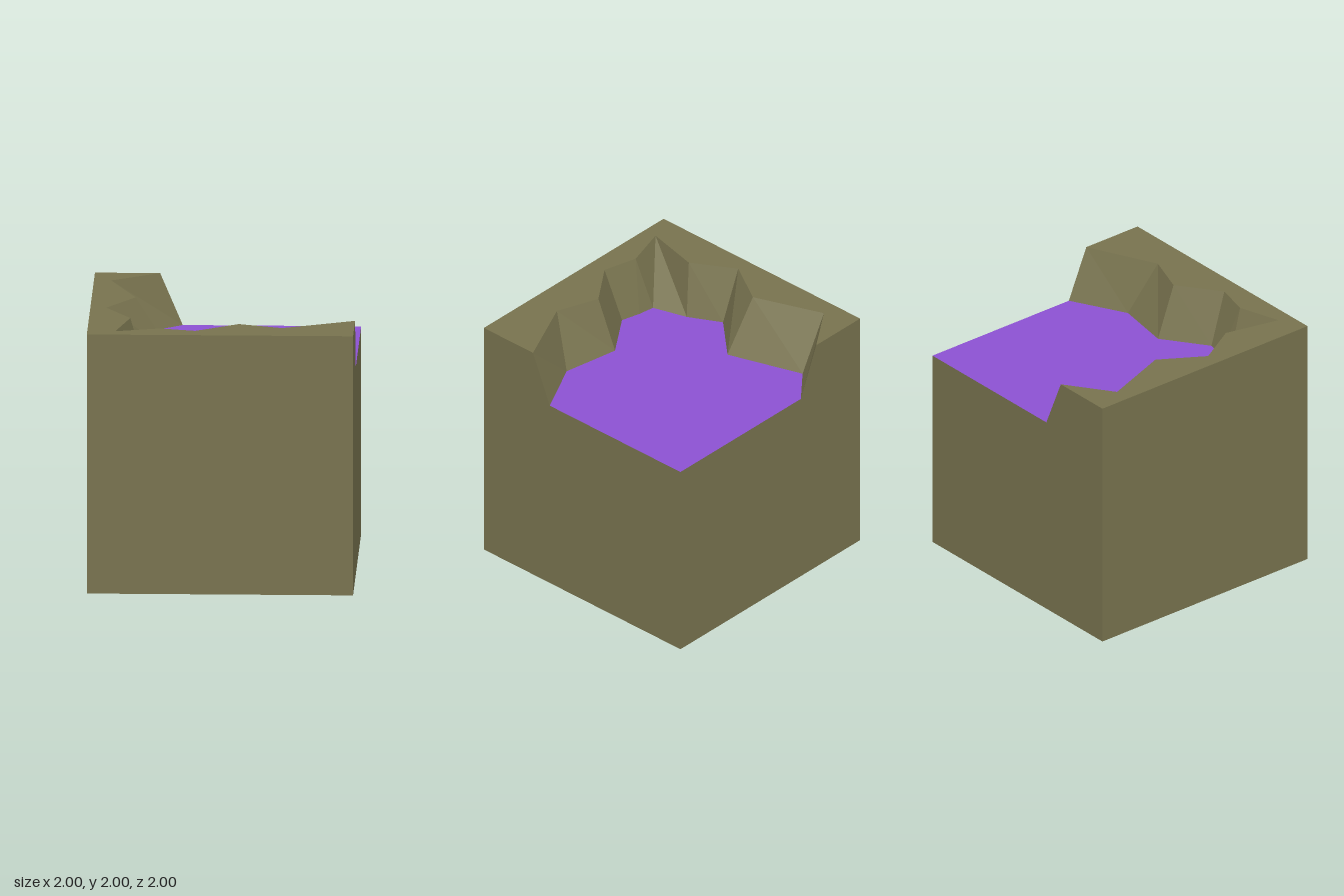
import * as THREE from 'three';

// Bank outline from the back edge round to the left-hand side, as [x, z]
const rim = [[-0.51, -1], [-0.87, -0.75], [-0.67, -0.21], [-0.88, 0.13], [-0.69, 0.46], [-0.79, 0.89],
  [-0.46, 0.79], [-0.19, 0.86], [0.13, 0.63], [0.46, 0.75], [1, 0.5]];
const shore = [[-0.34, -1], [-0.6, -0.78], [-0.41, -0.19], [-0.71, 0.13], [-0.58, 0.38], [-0.5, 0.65],
  [-0.37, 0.67], [-0.22, 0.71], [0.12, 0.47], [0.57, 0.55], [1, 0.33]];
const TOP = 2, LEVEL = 1.6;

// Flat polygon drawn in XY, facing +z
const flat = (points) => new THREE.ShapeGeometry(new THREE.Shape(points.map(([x, y]) => new THREE.Vector2(x, y))));

// Horizontal polygon from [x, z] points, facing up
const floor = (points, y) => flat(points.map(([x, z]) => [x, -z])).rotateX(-Math.PI / 2).translate(0, y, 0);

// Sloping strip between the rim and the shore
function bankGeometry() {
  const pos = [];
  const at = (list, i, y) => [list[i][0], y, list[i][1]];
  for (let i = 0; i < rim.length - 1; i++) {
    const t0 = at(rim, i, TOP), t1 = at(rim, i + 1, TOP);
    const b0 = at(shore, i, LEVEL), b1 = at(shore, i + 1, LEVEL);
    pos.push(...t0, ...t1, ...b0, ...t1, ...b1, ...b0);
  }
  const geo = new THREE.BufferGeometry();
  geo.setAttribute('position', new THREE.Float32BufferAttribute(pos, 3));
  geo.computeVertexNormals();
  return geo;
}

export function createModel() {
  const group = new THREE.Group();
  group.name = 'poolTile';
  const earth = new THREE.MeshStandardMaterial({ color: 0x77724e });
  earth.name = 'olive earth';
  const liquid = new THREE.MeshStandardMaterial({ color: 0x8c51d2 });
  liquid.name = 'purple liquid';

  const add = (name, geo, mat) => {
    const mesh = new THREE.Mesh(geo, mat);
    mesh.name = name;
    group.add(mesh);
  };

  // Outer walls and base
  const square = [[-1, 0], [1, 0], [1, TOP], [-1, TOP]];
  add('frontWall', flat(square).translate(0, 0, 1), earth);
  add('rightWall', flat(square).rotateY(-Math.PI / 2).translate(-1, 0, 0), earth);
  const end = rim.length - 1;
  add('leftWall', flat([[-1, 0], [1, 0], [1, LEVEL], [-shore[end][1], LEVEL], [-rim[end][1], TOP], [-1, TOP]])
    .rotateY(Math.PI / 2).translate(1, 0, 0), earth);
  add('backWall', flat([[-1, 0], [1, 0], [1, TOP], [-rim[0][0], TOP], [-shore[0][0], LEVEL], [-1, LEVEL]])
    .rotateY(Math.PI).translate(0, 0, -1), earth);
  add('base', new THREE.PlaneGeometry(2, 2).rotateX(Math.PI / 2), earth);

  // Raised ground, bank and pool
  add('ground', floor([[-1, -1], [-1, 1], [1, 1], ...[...rim].reverse()], TOP), earth);
  add('bank', bankGeometry(), earth);
  add('pool', floor([...shore, [1, -1]], LEVEL), liquid);
  return group;
}
